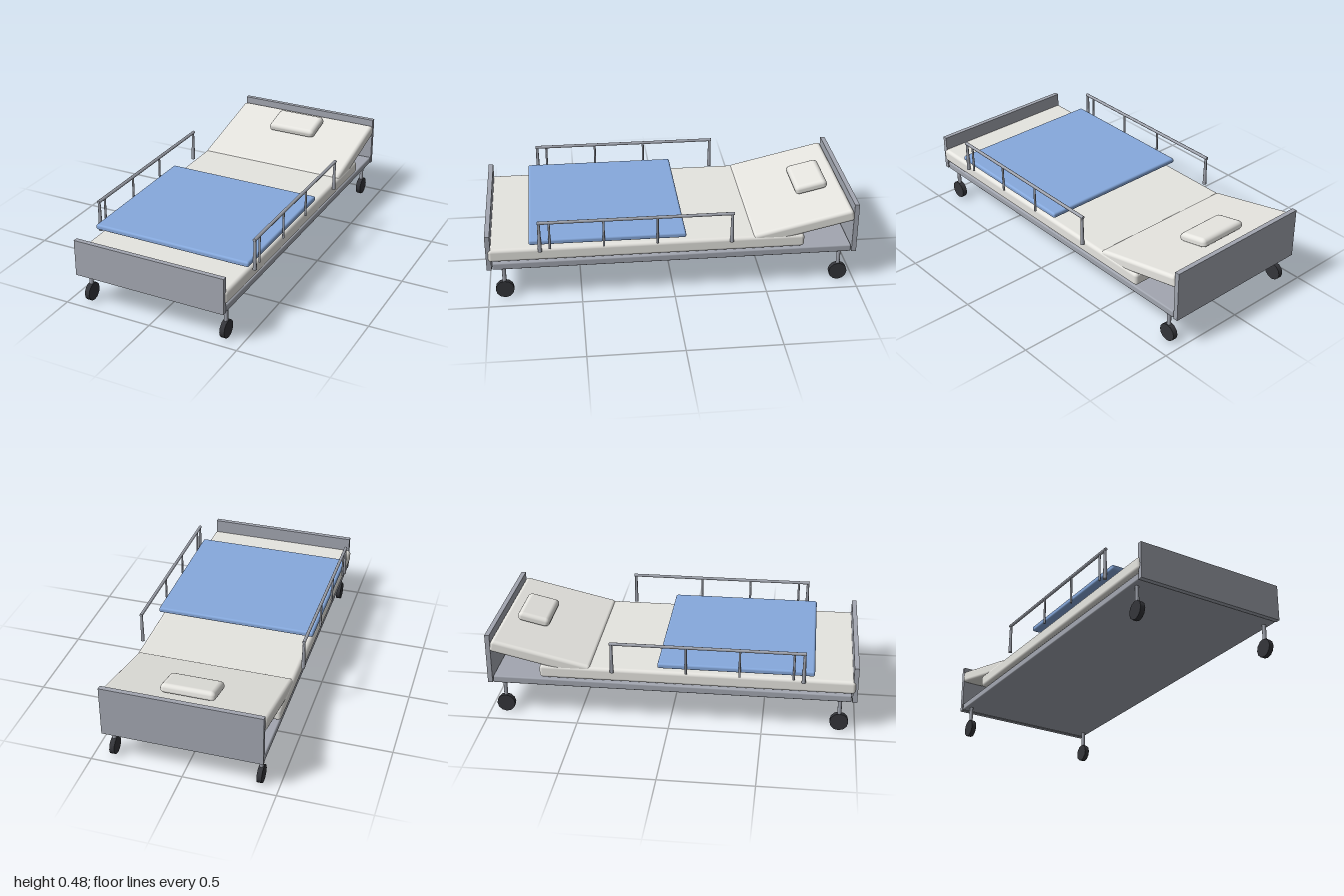
import * as THREE from 'three';
import { RoundedBoxGeometry } from 'three/addons/geometries/RoundedBoxGeometry.js';

const material = (color) => new THREE.MeshStandardMaterial({ color });

export function createModel() {
  const bed = new THREE.Group();
  bed.name = 'hospitalBed';

  const metal = material(0xa2a6b0);
  const linen = material(0xe6e5e0);
  const blue = material(0x86a9dd);
  const rubber = material(0x34353a);

  function add(name, geometry, mat, x, y, z, parent = bed) {
    const mesh = new THREE.Mesh(geometry, mat);
    mesh.name = name;
    mesh.position.set(x, y, z);
    parent.add(mesh);
    return mesh;
  }

  // Rounded slab whose sides bow out slightly and whose top swells in the middle
  function softSlab(w, h, d, radius, bow = 0.005, swell = 0) {
    const geometry = new RoundedBoxGeometry(w - 2 * bow, h, d - 2 * bow, 3, radius);
    const p = geometry.attributes.position;
    for (let i = 0; i < p.count; i++) {
      const u = p.getX(i) / (w / 2), v = p.getZ(i) / (d / 2), t = p.getY(i) / (h / 2);
      const side = 1 - t * t;
      p.setX(i, p.getX(i) + u * side * bow);
      p.setZ(i, p.getZ(i) + v * side * bow);
      p.setY(i, p.getY(i) * (1 - swell * (u * u + v * v) / 2));
    }
    return geometry;
  }

  // Bed frame and end boards
  add('deck', new RoundedBoxGeometry(0.86, 0.04, 1.94, 2, 0.008), metal, 0, 0.205, 0);
  add('footboard', new THREE.BoxGeometry(0.86, 0.202, 0.026), metal, 0, 0.286, 0.987);
  add('headboard', new THREE.BoxGeometry(0.86, 0.285, 0.026), metal, 0, 0.3275, -0.987);

  // Bedding
  add('mattress', softSlab(0.885, 0.074, 1.7, 0.018), linen, 0, 0.273, 0.14);
  const tilt = 0.23;
  add('raisedBackrest', softSlab(0.875, 0.068, 0.56, 0.018), linen, 0, 0.345, -0.705).rotation.x = tilt;
  add('pillow', softSlab(0.295, 0.058, 0.185, 0.022, 0.007, 0.2), linen, 0, 0.432, -0.8).rotation.x = tilt;
  add('blanket', softSlab(0.9, 0.03, 0.835, 0.01, 0.003), blue, 0, 0.35, 0.353);

  // Side rails
  for (const side of [-1, 1]) {
    const rail = new THREE.Group();
    rail.name = side > 0 ? 'leftRail' : 'rightRail';
    rail.position.x = side * 0.457;
    bed.add(rail);

    const bar = new THREE.CylinderGeometry(0.009, 0.009, 1.04, 8);
    add('topBar', bar, metal, 0, 0.472, 0.202, rail).rotation.x = Math.PI / 2;
    for (const z of [-0.308, 0.713]) {
      add('endPost', new THREE.CylinderGeometry(0.007, 0.011, 0.172, 8), metal, 0, 0.388, z, rail);
    }
    for (const z of [0.09, 0.375, 0.66]) {
      add('upright', new THREE.CylinderGeometry(0.006, 0.006, 0.155, 8), metal, 0, 0.394, z, rail);
    }
  }

  // Casters
  for (const x of [-0.398, 0.398]) {
    for (const z of [-0.912, 0.912]) {
      const caster = new THREE.Group();
      caster.name = 'caster';
      caster.position.set(x, 0, z);
      bed.add(caster);
      add('stem', new THREE.CylinderGeometry(0.011, 0.011, 0.14, 8), metal, 0, 0.12, 0, caster);
      const wheel = new THREE.CylinderGeometry(0.05, 0.05, 0.027, 12);
      add('wheel', wheel, rubber, 0, 0.05, 0, caster).rotation.z = Math.PI / 2;
    }
  }

  return bed;
}
